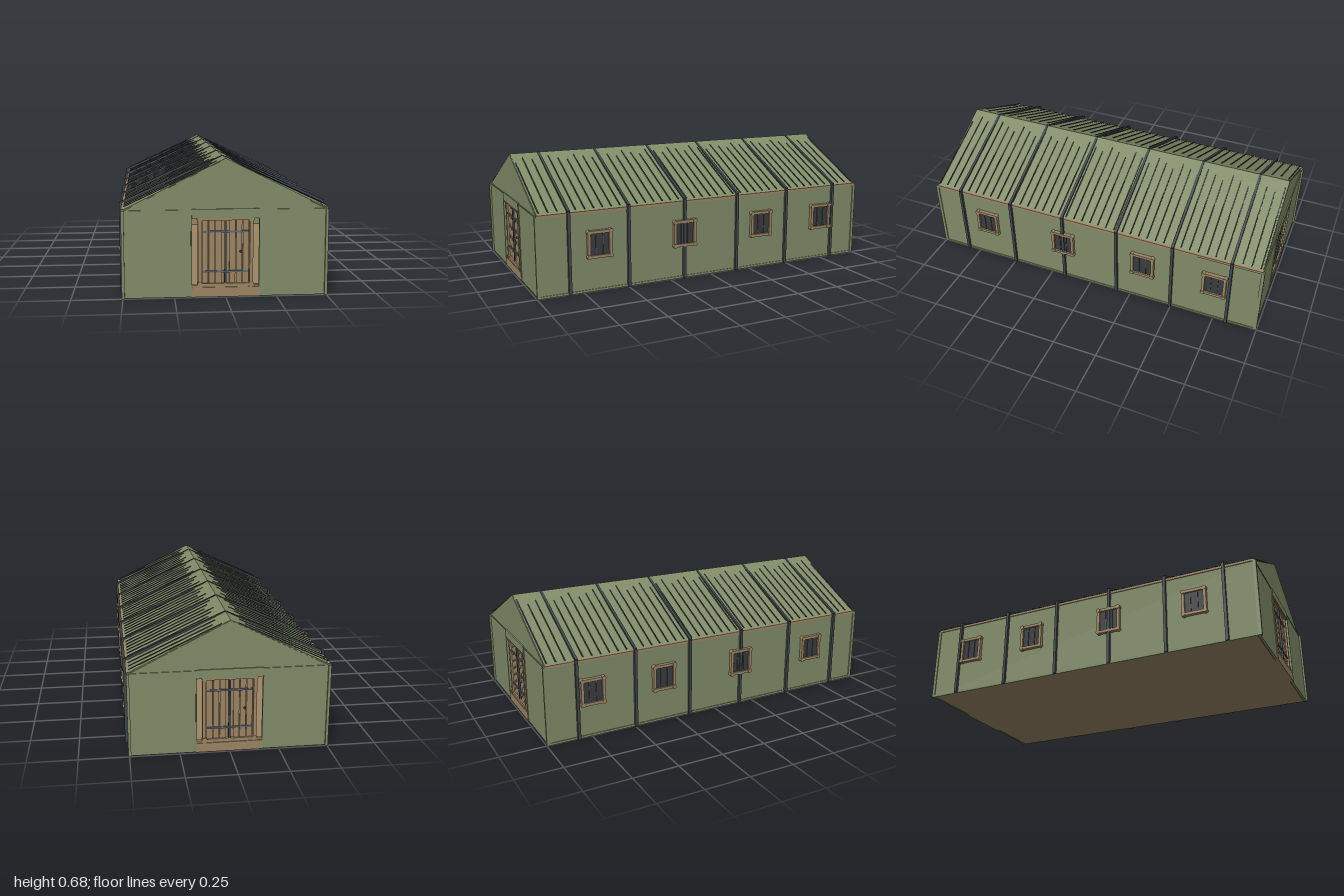
import * as THREE from 'three';

const mat = (name, color) => {
  const m = new THREE.MeshStandardMaterial({ color });
  m.name = name;
  return m;
};

export function createModel() {
  const green = mat('green panel', 0x808b67);
  const wood = mat('wood', 0x9c8564);
  const dark = mat('dark steel', 0x3f464b);
  const glass = mat('window glass', 0x393b3d);
  const steel = mat('blue steel', 0x5c6a75);

  const root = new THREE.Group();
  root.name = 'barracks';

  const group = (name, parent = root) => {
    const g = new THREE.Group();
    g.name = name;
    parent.add(g);
    return g;
  };
  const add = (parent, name, geo, m, x, y, z) => {
    const mesh = new THREE.Mesh(geo, m);
    mesh.name = name;
    mesh.position.set(x, y, z);
    parent.add(mesh);
    return mesh;
  };
  // Box centred on a point
  const box = (parent, name, m, w, h, d, x, y, z) =>
    add(parent, name, new THREE.BoxGeometry(w, h, d), m, x, y, z);
  // Sloping bar in the xy plane between two points
  const bar = (parent, name, m, x0, y0, x1, y1, thick, depth, z) => {
    const b = box(parent, name, m, Math.hypot(x1 - x0, y1 - y0), thick, depth, (x0 + x1) / 2, (y0 + y1) / 2, z);
    b.rotation.z = Math.atan2(y1 - y0, x1 - x0);
  };
  // Short round peg along z
  const peg = (parent, name, m, r, length, x, y, z) => {
    const p = add(parent, name, new THREE.CylinderGeometry(r, r, length, 10), m, x, y, z);
    p.rotation.x = Math.PI / 2;
  };
  // Polygon in the xy plane extruded along z
  const prism = (parent, name, m, points, depth, z) => {
    const shape = new THREE.Shape(points.map(([x, y]) => new THREE.Vector2(x, y)));
    add(parent, name, new THREE.ExtrudeGeometry(shape, { depth, bevelEnabled: false }), m, 0, 0, z);
  };

  // Floor, and roof sheet folded at the ridge
  box(root, 'floor', wood, 0.985, 0.008, 1.95, 0, 0.004, 0);
  prism(root, 'roofSheet', green,
    [[-0.497, 0.428], [0, 0.673], [0.497, 0.428], [0.497, 0.434], [0, 0.679], [-0.497, 0.434]], 1.97, -0.985);

  // Window, facing +z
  const makeWindow = (parent) => {
    const g = group('window', parent);
    box(g, 'pane', glass, 0.11, 0.125, 0.012, 0, 0, 0.002);
    for (const s of [-1, 1]) {
      box(g, 'frameSide', wood, 0.016, 0.145, 0.03, s * 0.06, 0, 0.003);
      box(g, 'frameRail', wood, 0.13, 0.016, 0.03, 0, s * 0.066, 0.003);
      for (const t of [-1, 1]) peg(g, 'frameCorner', wood, 0.012, 0.034, s * 0.06, t * 0.066, 0.004);
      box(g, 'windowBar', dark, 0.005, 0.116, 0.005, s * 0.02, 0, 0.01);
    }
    return g;
  };

  // Long sides: wall, eave rail, windows, ribs and frames
  for (const s of [-1, 1]) {
    const side = group(s > 0 ? 'leftSide' : 'rightSide');
    box(side, 'sideWall', green, 0.01, 0.43, 1.98, s * 0.495, 0.215, 0);
    box(side, 'eaveRail', wood, 0.012, 0.014, 1.98, s * 0.499, 0.43, 0);
    box(side, 'baseRail', green, 0.014, 0.012, 1.98, s * 0.497, 0.006, 0);
    for (const z of [0.66, 0.165, -0.325, -0.74]) {
      const w = makeWindow(side);
      w.position.set(s * 0.502, 0.257, z);
      w.rotation.y = s * Math.PI / 2;
    }

    // Roof ribs lift away from the sheet towards the eaves
    for (let i = 0; i < 41; i++) {
      const inner = 0.04 + 0.02 * ((i * 2) % 3);
      bar(side, 'roofRib', dark, s * inner, 0.68 - inner * 0.488, s * 0.492, 0.448, 0.004, 0.006, -0.975 + i * 0.04875);
    }

    // Outer steel frames
    for (let i = 0; i < 6; i++) {
      const z = -0.825 + i * 0.33;
      box(side, 'framePost', dark, 0.015, 0.445, 0.016, s * 0.509, 0.2225, z);
      bar(side, 'frameRafter', dark, 0, 0.676, s * 0.514, 0.446, 0.01, 0.014, z);
    }
  }

  // End walls, built facing +z and turned for the back
  const makeEnd = (name) => {
    const end = group(name);
    prism(end, 'gable', green, [[-0.495, 0.428], [0.495, 0.428], [0, 0.677]], 0.01, 0.978);
    for (const s of [-1, 1]) {
      box(end, 'endWall', green, 0.33, 0.43, 0.012, s * 0.33, 0.215, 0.984);
      box(end, 'cornerPost', green, 0.014, 0.43, 0.018, s * 0.498, 0.215, 0.991);
      box(end, 'doorwayEdge', green, 0.006, 0.39, 0.016, s * 0.167, 0.195, 0.986);
      box(end, 'wallTopRail', green, 0.33, 0.006, 0.016, s * 0.33, 0.428, 0.985);
    }
    box(end, 'doorHeader', green, 0.33, 0.046, 0.02, 0, 0.412, 0.985);
    box(end, 'threshold', wood, 0.33, 0.048, 0.024, 0, 0.024, 0.982);
    box(end, 'thresholdLip', wood, 0.33, 0.01, 0.02, 0, 0.053, 0.979);

    // Door with planks, frame, straps and knob
    const door = group('door', end);
    box(door, 'doorBack', wood, 0.24, 0.32, 0.008, 0, 0.222, 0.97);
    for (const x of [-0.1, -0.067, -0.034, 0.034, 0.067, 0.1])
      box(door, 'plank', wood, 0.029, 0.312, 0.008, x, 0.222, 0.977);
    for (const s of [-1, 1]) {
      box(door, 'frameSide', wood, 0.017, 0.335, 0.026, s * 0.127, 0.222, 0.977);
      box(door, 'frameRail', wood, 0.26, 0.016, 0.026, 0, 0.222 + s * 0.164, 0.977);
      for (const t of [-1, 1]) peg(door, 'frameCorner', wood, 0.014, 0.03, s * 0.126, 0.222 + t * 0.162, 0.978);
      box(door, 'strap', steel, 0.226, 0.009, 0.005, 0, 0.223 + s * 0.099, 0.984);
    }
    box(door, 'centreBar', dark, 0.01, 0.325, 0.014, 0, 0.222, 0.98);
    peg(door, 'knob', dark, 0.006, 0.012, 0.075, 0.222, 0.984);
    return end;
  };
  makeEnd('frontEnd');
  makeEnd('backEnd').rotation.y = Math.PI;

  return root;
}
